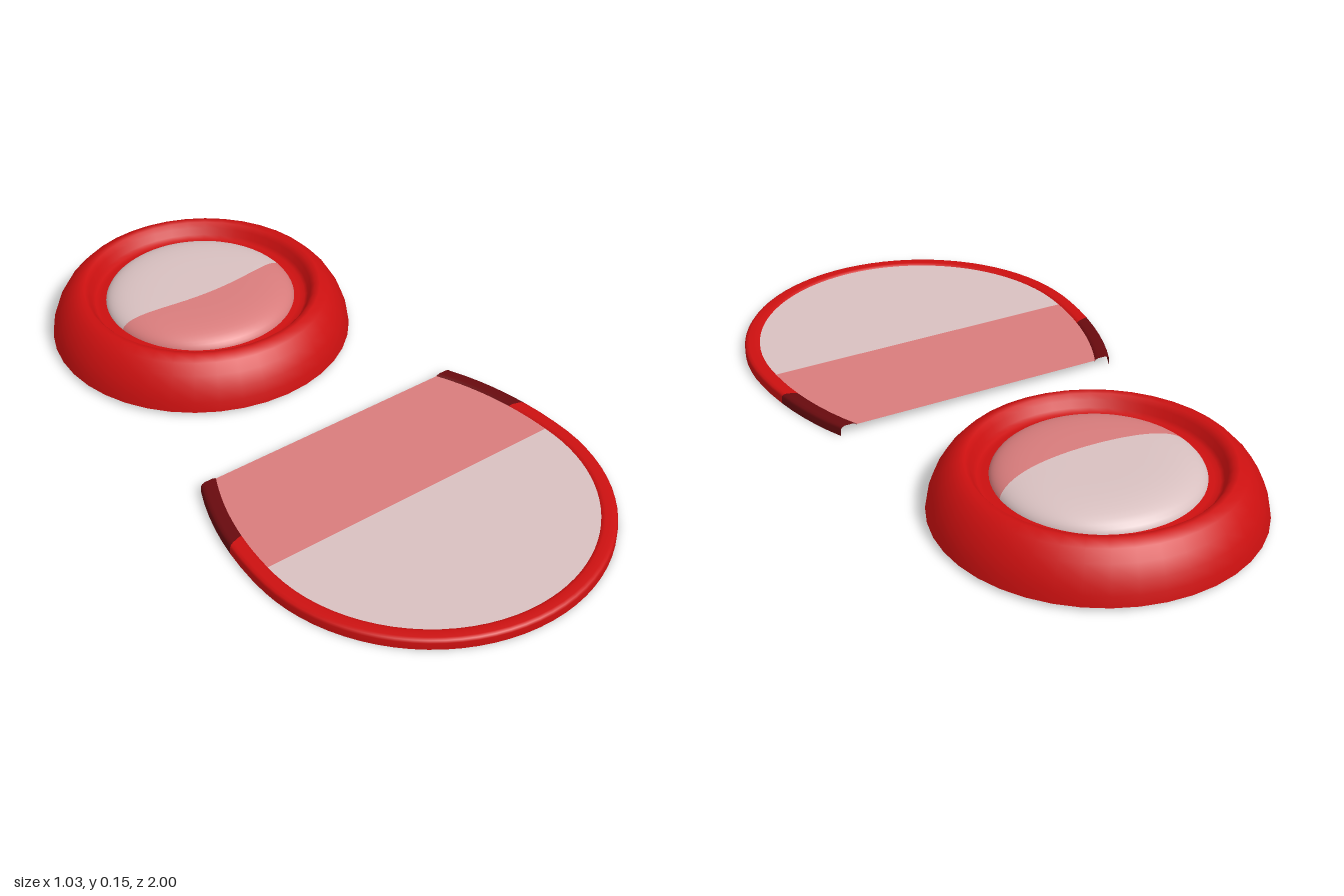
import * as THREE from 'three';

const mat = (name, color) => {
  const m = new THREE.MeshStandardMaterial({ color, side: THREE.DoubleSide });
  m.name = name;
  return m;
};

// Surface through an (nu+1) x (nv+1) grid of points given by fn(u, v)
function patch(nu, nv, fn) {
  const pos = [], idx = [];
  for (let i = 0; i <= nu; i++) for (let j = 0; j <= nv; j++) pos.push(...fn(i / nu, j / nv));
  for (let i = 0; i < nu; i++) for (let j = 0; j < nv; j++) {
    const a = i * (nv + 1) + j, b = a + nv + 1;
    idx.push(a, a + 1, b, b, a + 1, b + 1);
  }
  const g = new THREE.BufferGeometry();
  g.setAttribute('position', new THREE.Float32BufferAttribute(pos, 3));
  g.setIndex(idx);
  g.computeVertexNormals();
  return g;
}

export function createModel() {
  const red = mat('red', 0xcc1010);
  const deepRed = mat('deep red', 0x680a0e);
  const pink = mat('pink tint', 0xd87c7c);
  const pale = mat('pale glass', 0xd8c0c0);

  const model = new THREE.Group();
  const add = (parent, name, geometry, material) => {
    const mesh = new THREE.Mesh(geometry, material);
    mesh.name = name;
    parent.add(mesh);
  };

  // Round unit: open-bottomed ring holding a domed lens
  const round = new THREE.Group();
  round.name = 'roundUnit';
  round.position.z = -0.558;
  model.add(round);
  const profile = [[0.442, 0.01], [0.437, 0.04], [0.425, 0.075], [0.405, 0.11], [0.38, 0.137], [0.355, 0.15],
    [0.34, 0.148], [0.328, 0.135], [0.32, 0.115], [0.31, 0.106], [0.295, 0.106], [0.278, 0.108]];
  add(round, 'ringHousing', new THREE.LatheGeometry(profile.map(p => new THREE.Vector2(...p)), 40), red);

  // The dome is split along a curved line into a pale back and a tinted front
  const R = 0.28;
  const dome = side => patch(40, 14, (u, v) => {
    const x = -R * Math.cos(u * Math.PI);
    const edge = Math.sqrt(Math.max(0, R * R - x * x));
    const split = Math.min(edge, 0.061 - 0.61 * x * x);
    const z = split + (side * edge - split) * Math.sin(v * Math.PI / 2);
    const r = Math.min(1, Math.hypot(x, z) / R);
    return [x, 0.1 + 0.055 * Math.sqrt(1 - r ** 5), z];
  });
  add(round, 'domeLensBack', dome(-1), pale);
  add(round, 'domeLensFront', dome(1), pink);

  // Flat unit: rounded outline cut straight at the back; d is the inset from the edge
  const flat = new THREE.Group();
  flat.name = 'flatUnit';
  model.add(flat);
  const midZ = 0.48, backZ = 0.085;
  const outline = (d, t) => {
    const start = -Math.asin((midZ - backZ) / (0.718 - d));
    const a = start + t * (Math.PI - 2 * start);
    const s = Math.sin(a);
    return [(0.515 - d) * Math.cos(a), midZ + ((s > 0 ? 0.52 : 0.718) - d) * s];
  };

  // Rim: a thin hooked section swept round the outline, darker at both ends
  const section = [[0, 0], [0, 0.021], [0.004, 0.027], [0.012, 0.03], [0.034, 0.03], [0.042, 0.027], [0.046, 0.022]];
  const rim = (t0, t1, n) => patch(n, section.length - 1, (u, v) => {
    const [d, y] = section[Math.round(v * (section.length - 1))];
    const [x, z] = outline(d, t0 + (t1 - t0) * u);
    return [x, y, z];
  });
  add(flat, 'rim', rim(0.086, 0.914, 44), red);
  add(flat, 'rimEndLeft', rim(0, 0.086, 5), deepRed);
  add(flat, 'rimEndRight', rim(0.914, 1, 5), deepRed);

  // Flat lens: tinted strip at the back, pale area in front
  const splitZ = 0.45, inset = 0.044;
  const halfWidth = z => {
    const b = (z > midZ ? 0.52 : 0.718) - inset;
    return (0.515 - inset) * Math.sqrt(Math.max(0, 1 - ((z - midZ) / b) ** 2));
  };
  const lens = (z0, z1) => patch(24, 12, (u, v) => {
    const z = z0 + (z1 - z0) * Math.sin(u * Math.PI / 2);
    return [halfWidth(z) * (2 * v - 1), 0.025, z];
  });
  const flip = g => { g.index.array.reverse(); g.computeVertexNormals(); return g; };
  add(flat, 'flatLensBack', flip(lens(backZ, splitZ)), pink);
  add(flat, 'flatLensFront', flip(lens(splitZ, midZ + 0.52 - inset)), pale);

  return model;
}
